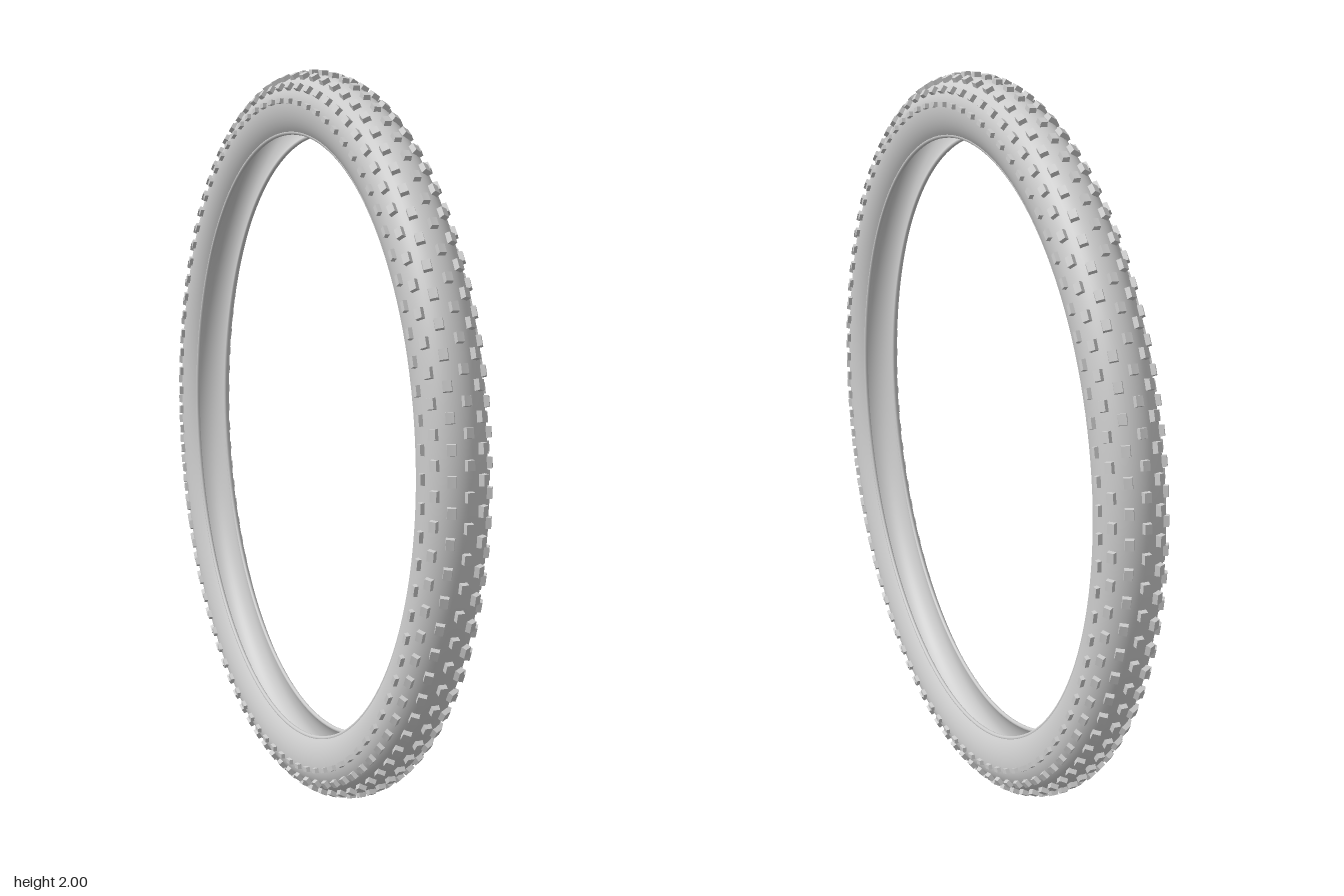
import * as THREE from 'three';
import { mergeGeometries } from 'three/addons/utils/BufferGeometryUtils.js';

const RING = 0.911;      // radius of the ring through the widest part of the tyre
const HALF = 0.077;      // half width of the casing
const WALL = 0.007;      // casing thickness
const BEAD = 2.42;       // section angle at which the sidewall ends
const COUNT = 88;        // knobs per row

const material = new THREE.MeshStandardMaterial({ color: 0xcccccc, side: THREE.DoubleSide });

// Point of the casing section: a = 0 faces outward, the sidewalls reach deeper than the crown
function section(a, inset = 0) {
  const depth = Math.cos(a) > 0 ? HALF : 0.105;
  return new THREE.Vector2(RING + (depth - inset) * Math.cos(a), (HALF - inset) * Math.sin(a));
}

// Lathe whose axis lies along x
function ringMesh(name, points) {
  const geometry = new THREE.LatheGeometry(points, 144);
  geometry.rotateZ(-Math.PI / 2);
  const mesh = new THREE.Mesh(geometry, material);
  mesh.name = name;
  return mesh;
}

// One row of knobs at a section angle, tapered towards the top
function knobRow(name, angle, width, length, height, shift) {
  const knob = new THREE.BoxGeometry(width, height + 0.006, length);
  const p = knob.attributes.position;
  for (let i = 0; i < p.count; i++) {
    if (p.getY(i) > 0) p.setXYZ(i, p.getX(i) * 0.88, p.getY(i), p.getZ(i) * 0.88);
  }
  knob.computeVertexNormals();
  knob.translate(0, HALF + height / 2 - 0.003, 0);
  knob.rotateZ(-angle);
  knob.translate(0, RING, 0);
  const parts = [];
  for (let i = 0; i < COUNT; i++) {
    parts.push(knob.clone().rotateX(((i + shift) / COUNT) * Math.PI * 2));
  }
  const mesh = new THREE.Mesh(mergeGeometries(parts), material);
  mesh.name = name;
  return mesh;
}

export function createModel() {
  const model = new THREE.Group();
  model.name = 'bicycleTyre';

  // Hollow casing, open towards the rim
  const outer = [], inner = [];
  for (let i = 0; i <= 36; i++) {
    const a = -BEAD + (2 * BEAD * i) / 36;
    outer.push(section(a));
    inner.push(section(-a, WALL));
  }
  model.add(ringMesh('casing', outer), ringMesh('innerLining', inner));

  // Thickened beads along both edges of the opening
  for (const side of [-1, 1]) {
    const centre = section(side * BEAD, WALL / 2);
    const points = [];
    for (let i = 0; i <= 10; i++) {
      const a = (i / 10) * Math.PI * 2;
      points.push(new THREE.Vector2(centre.x + 0.006 * Math.cos(a), centre.y + 0.006 * Math.sin(a)));
    }
    model.add(ringMesh(side > 0 ? 'leftBead' : 'rightBead', points));
  }

  // Tread: a centre row and three mirrored rows, staggered
  const tread = new THREE.Group();
  tread.name = 'tread';
  tread.add(knobRow('centreKnobs', 0, 0.02, 0.026, 0.012, 0));
  const rows = [
    ['innerKnobs', 0.5, 0.022, 0.028, 0.012, 0.5],
    ['shoulderKnobs', 1.0, 0.02, 0.028, 0.011, 0],
    ['sideKnobs', 1.5, 0.014, 0.028, 0.01, 0.5],
  ];
  for (const [name, angle, ...size] of rows) {
    tread.add(knobRow('left ' + name, angle, ...size), knobRow('right ' + name, -angle, ...size));
  }
  model.add(tread);

  model.position.y = 1;
  const root = new THREE.Group();
  root.name = 'tyre';
  root.add(model);
  return root;
}
